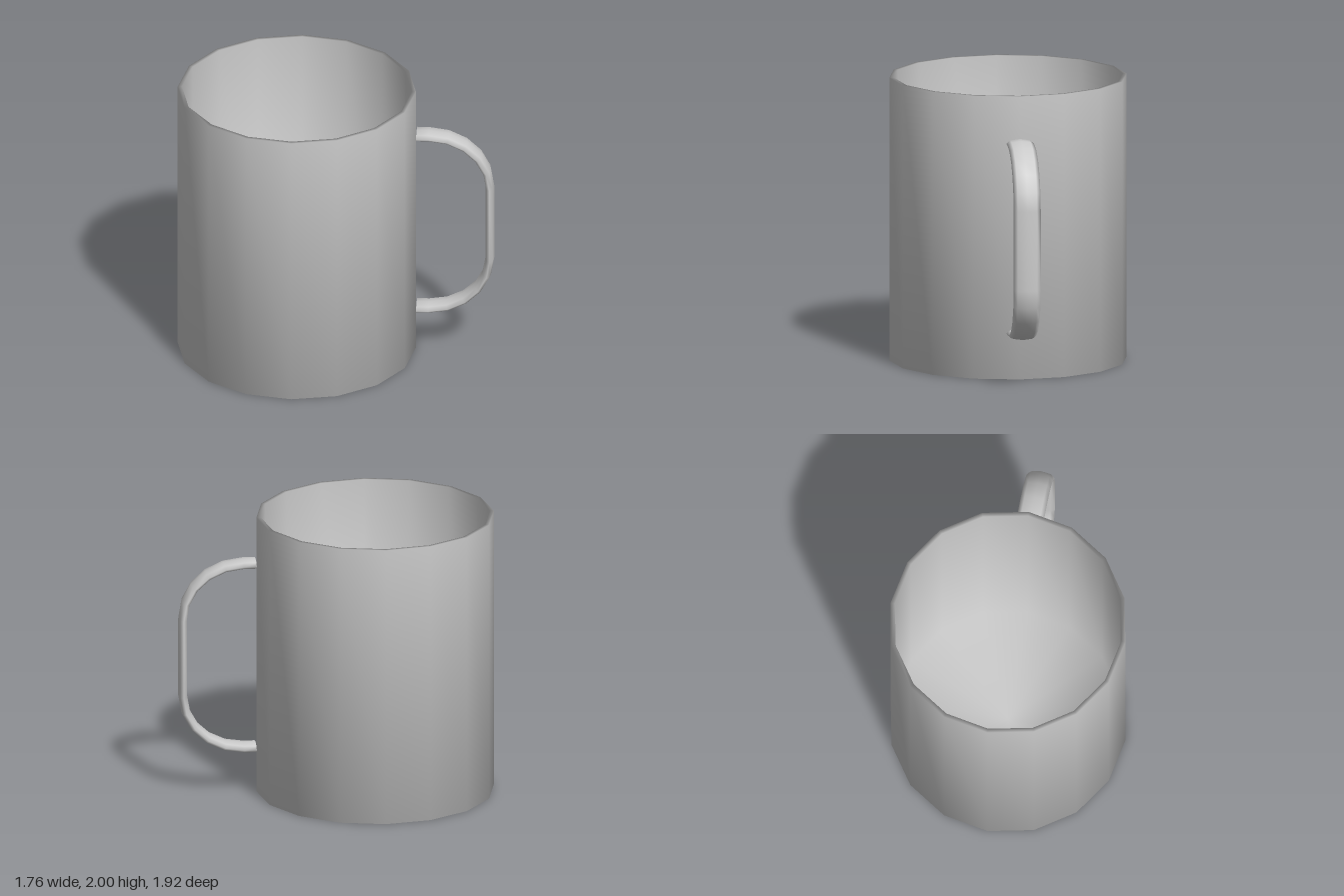
import * as THREE from 'three';

const CENTRE = [-0.055, -0.135];        // cup axis in x, z
const HANDLE_ANGLE = THREE.MathUtils.degToRad(50);
const RADIUS = 0.83, WALL = 0.03, HEIGHT = 2;

// Swept strap: an eight-sided ellipse carried along a rounded C in the local xy plane
function handleGeometry() {
  const SIDES = 8, BENDS = 5, thick = 0.031, halfWidth = 0.095;
  const stations = [[0.835, 1.67, Math.PI / 2]];
  for (const [cy, from] of [[1.28, Math.PI / 2], [0.72, 0]]) {
    for (let i = 0; i <= BENDS; i++) {
      const a = from - (i / BENDS) * Math.PI / 2;
      stations.push([0.92 + 0.425 * Math.cos(a), cy + 0.39 * Math.sin(a), a]);
    }
  }
  stations.push([0.835, 0.33, -Math.PI / 2]);

  const positions = [], index = [];
  for (const [x, y, a] of stations) {
    for (let j = 0; j < SIDES; j++) {
      const p = (j / SIDES) * Math.PI * 2, r = thick * Math.cos(p);
      positions.push(x + r * Math.cos(a), y + r * Math.sin(a), halfWidth * Math.sin(p));
    }
  }
  const last = stations.length - 1;
  for (let i = 0; i < last; i++) {
    for (let j = 0; j < SIDES; j++) {
      const k = (j + 1) % SIDES, a = i * SIDES, b = a + SIDES;
      index.push(a + j, a + k, b + j, a + k, b + k, b + j);
    }
  }
  // End caps
  const start = positions.length / 3;
  positions.push(stations[0][0], stations[0][1], 0, stations[last][0], stations[last][1], 0);
  for (let j = 0; j < SIDES; j++) {
    const k = (j + 1) % SIDES;
    index.push(start, k, j, start + 1, last * SIDES + j, last * SIDES + k);
  }
  const geometry = new THREE.BufferGeometry();
  geometry.setAttribute('position', new THREE.Float32BufferAttribute(positions, 3));
  geometry.setIndex(index);
  geometry.computeVertexNormals();
  return geometry;
}

export function createModel() {
  const model = new THREE.Group();
  model.name = 'mug';
  const material = new THREE.MeshStandardMaterial({ color: 0xcccccc });

  // Sixteen-sided cup: base, outer wall, rim, inner wall and floor, smooth throughout
  const inner = RADIUS - WALL;
  const profile = [
    [0, 0], [RADIUS, 0], [RADIUS, HEIGHT], [inner, HEIGHT], [inner, 0.04], [0, 0.04],
  ].map(([r, y]) => new THREE.Vector2(r, y));
  const cup = new THREE.Mesh(
    new THREE.LatheGeometry(profile, 16, Math.PI / 2 - HANDLE_ANGLE, Math.PI * 2), material);
  cup.name = 'cup';

  // Handle, turned to the front left
  const handle = new THREE.Mesh(handleGeometry(), material);
  handle.name = 'handle';
  handle.rotation.y = -HANDLE_ANGLE;

  for (const part of [cup, handle]) {
    part.position.set(CENTRE[0], 0, CENTRE[1]);
    model.add(part);
  }
  return model;
}
